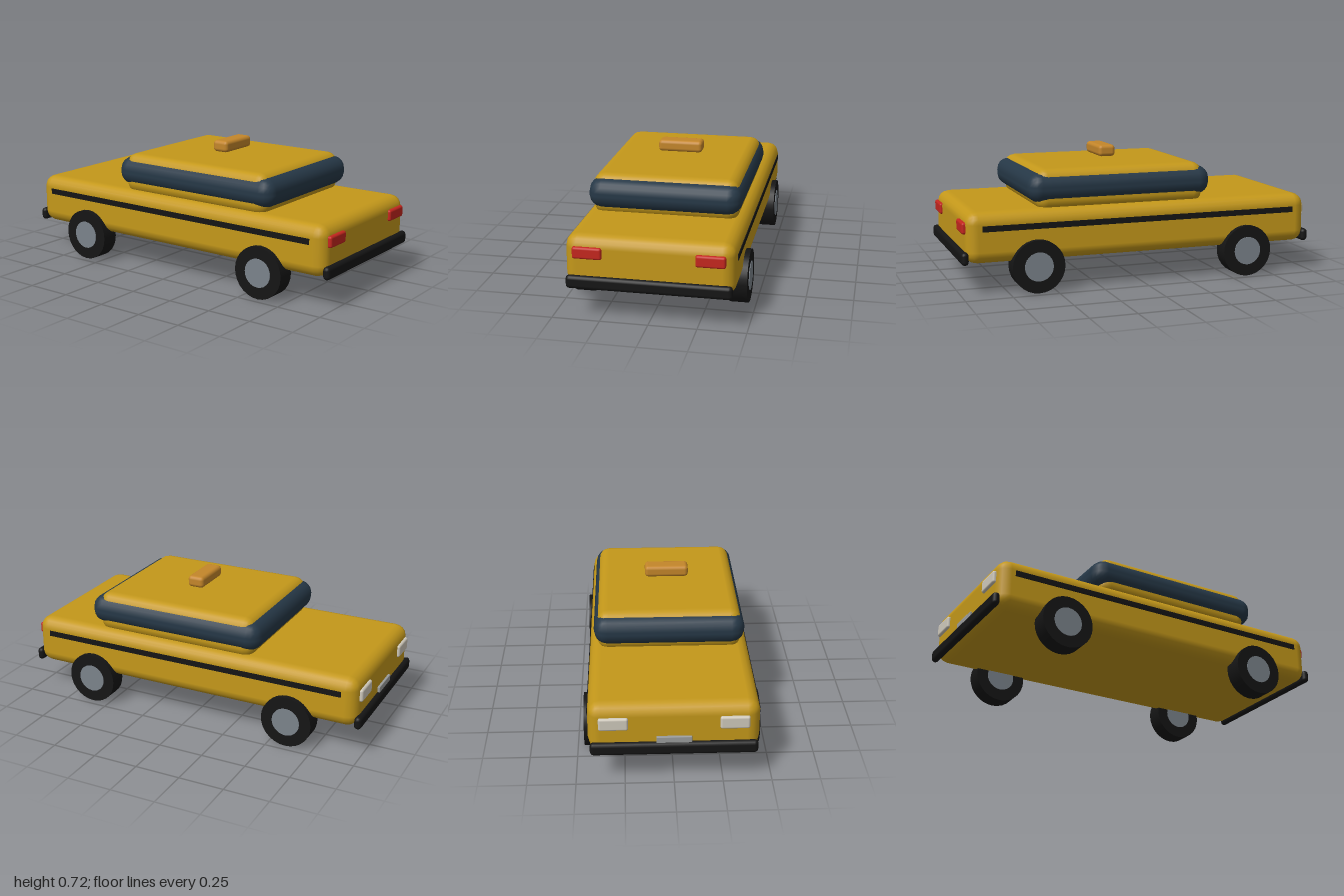
import * as THREE from 'three';
import { RoundedBoxGeometry } from 'three/addons/geometries/RoundedBoxGeometry.js';

const paint = (color) => new THREE.MeshStandardMaterial({ color });

export function createModel() {
  const car = new THREE.Group();
  car.name = 'car';

  const yellow = paint(0xc4981a);
  const black = paint(0x151515);
  const glass = paint(0x263847);
  const red = paint(0xc4261e);
  const white = paint(0xcfc9bc);
  const silver = paint(0x9a9c9c);
  const hubGrey = paint(0x7b838b);
  const orange = paint(0xc4862a);

  // Rounded block given by its minimum and maximum corners
  function block(name, material, min, max, radius, segments = 2) {
    const size = max.map((v, i) => v - min[i]);
    const mesh = new THREE.Mesh(new RoundedBoxGeometry(...size, segments, radius), material);
    mesh.position.set(...max.map((v, i) => (v + min[i]) / 2));
    mesh.name = name;
    car.add(mesh);
    return mesh;
  }

  // Main shell, cabin, window band and roof sign
  block('body', yellow, [-0.435, 0.165, -0.975], [0.435, 0.44, 0.975], 0.065);
  block('cabin', yellow, [-0.39, 0.415, -0.365], [0.39, 0.64, 0.585], 0.06);
  block('windowBand', glass, [-0.408, 0.46, -0.405], [0.408, 0.62, 0.63], 0.072);
  block('roofSign', orange, [-0.122, 0.66, 0.06], [0.122, 0.724, 0.156], 0.02);

  // Bumpers at both ends
  block('frontBumper', black, [-0.425, 0.164, 0.96], [0.425, 0.234, 1], 0.02);
  block('backBumper', black, [-0.425, 0.164, -1], [0.425, 0.234, -0.96], 0.02);

  // Number plate
  block('plate', silver, [-0.09, 0.225, -0.988], [0.09, 0.265, -0.965], 0.004);

  for (const side of [-1, 1]) {
    const label = side > 0 ? 'left' : 'right';

    // Lamps
    const redLamp = block(label + 'RedLamp', red, [-0.076, 0.324, 0.95], [0.076, 0.386, 0.99], 0.012);
    redLamp.position.x = side * 0.313;
    const whiteLamp = block(label + 'WhiteLamp', white, [-0.075, 0.305, -0.99], [0.075, 0.375, -0.95], 0.012);
    whiteLamp.position.x = side * 0.305;

    // Side stripe
    const stripe = new THREE.Mesh(new THREE.BoxGeometry(0.012, 0.031, 1.78), black);
    stripe.position.set(side * 0.433, 0.355, 0);
    stripe.name = label + 'Stripe';
    car.add(stripe);

    // Wheels with hubs showing on both faces
    for (const end of [-1, 1]) {
      const wheel = new THREE.Group();
      wheel.name = label + (end > 0 ? 'Front' : 'Back') + 'Wheel';
      const tyre = new THREE.Mesh(new THREE.CylinderGeometry(0.142, 0.142, 0.098, 28), black);
      tyre.name = 'tyre';
      const hub = new THREE.Mesh(new THREE.CylinderGeometry(0.078, 0.078, 0.104, 24), hubGrey);
      hub.name = 'hub';
      wheel.add(tyre, hub);
      wheel.rotation.z = Math.PI / 2;
      wheel.position.set(side * 0.414, 0.142, end * 0.6);
      car.add(wheel);
    }
  }

  return car;
}
